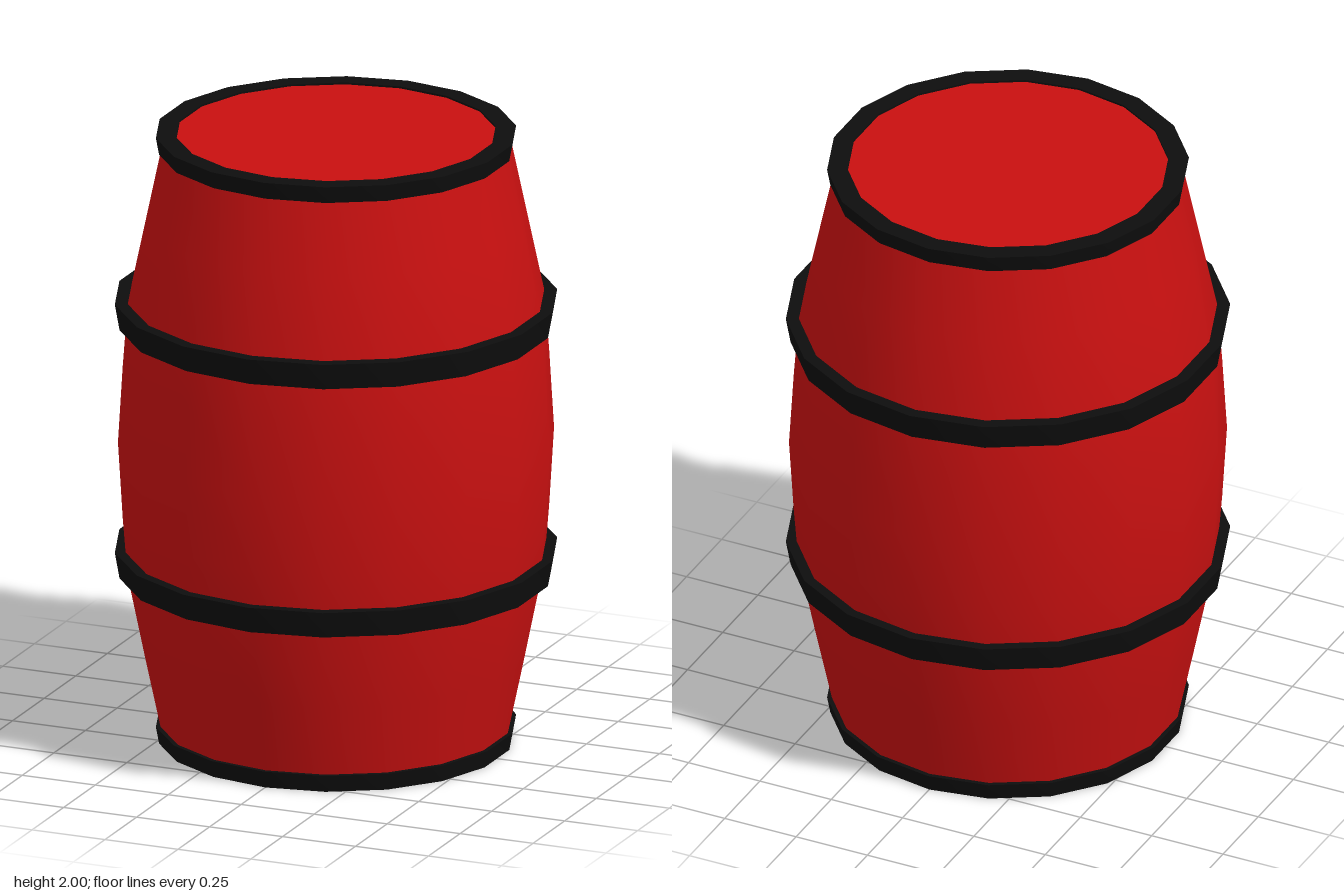
import * as THREE from 'three';
import { toCreasedNormals } from 'three/addons/utils/BufferGeometryUtils.js';

const SIDES = 18;
const red = new THREE.MeshStandardMaterial({ color: 0xc81010 });
const black = new THREE.MeshStandardMaterial({ color: 0x0d0d0d });

// Revolve a [radius, height] profile; smooth round the barrel, sharp at rims
function revolve(name, profile, material) {
  const points = profile.map(([r, y]) => new THREE.Vector2(r, y));
  const geometry = toCreasedNormals(new THREE.LatheGeometry(points, SIDES), 0.6);
  const mesh = new THREE.Mesh(geometry, material);
  mesh.name = name;
  return mesh;
}

// Closed band, slightly wider at its upper edge
function hoop(name, bottom, top, inner, outerBottom, outerTop) {
  return revolve(name, [
    [inner, bottom], [outerBottom, bottom], [outerTop, top], [inner, top], [inner, bottom],
  ], black);
}

export function createModel() {
  const barrel = new THREE.Group();
  barrel.name = 'barrel';

  // Bulging staves with the flat lid and base
  barrel.add(revolve('body', [
    [0, 0.006], [0.545, 0.006], [0.605, 0.29], [0.66, 0.56], [0.675, 0.75], [0.69, 1.0],
    [0.675, 1.25], [0.66, 1.45], [0.605, 1.71], [0.545, 1.994], [0, 1.994],
  ], red));

  // Rim hoops
  barrel.add(hoop('bottomRimHoop', 0, 0.055, 0.505, 0.56, 0.57));
  barrel.add(hoop('topRimHoop', 1.945, 2, 0.505, 0.56, 0.57));

  // Belly hoops
  barrel.add(hoop('lowerHoop', 0.55, 0.635, 0.63, 0.685, 0.7));
  barrel.add(hoop('upperHoop', 1.37, 1.455, 0.63, 0.685, 0.7));

  return barrel;
}
